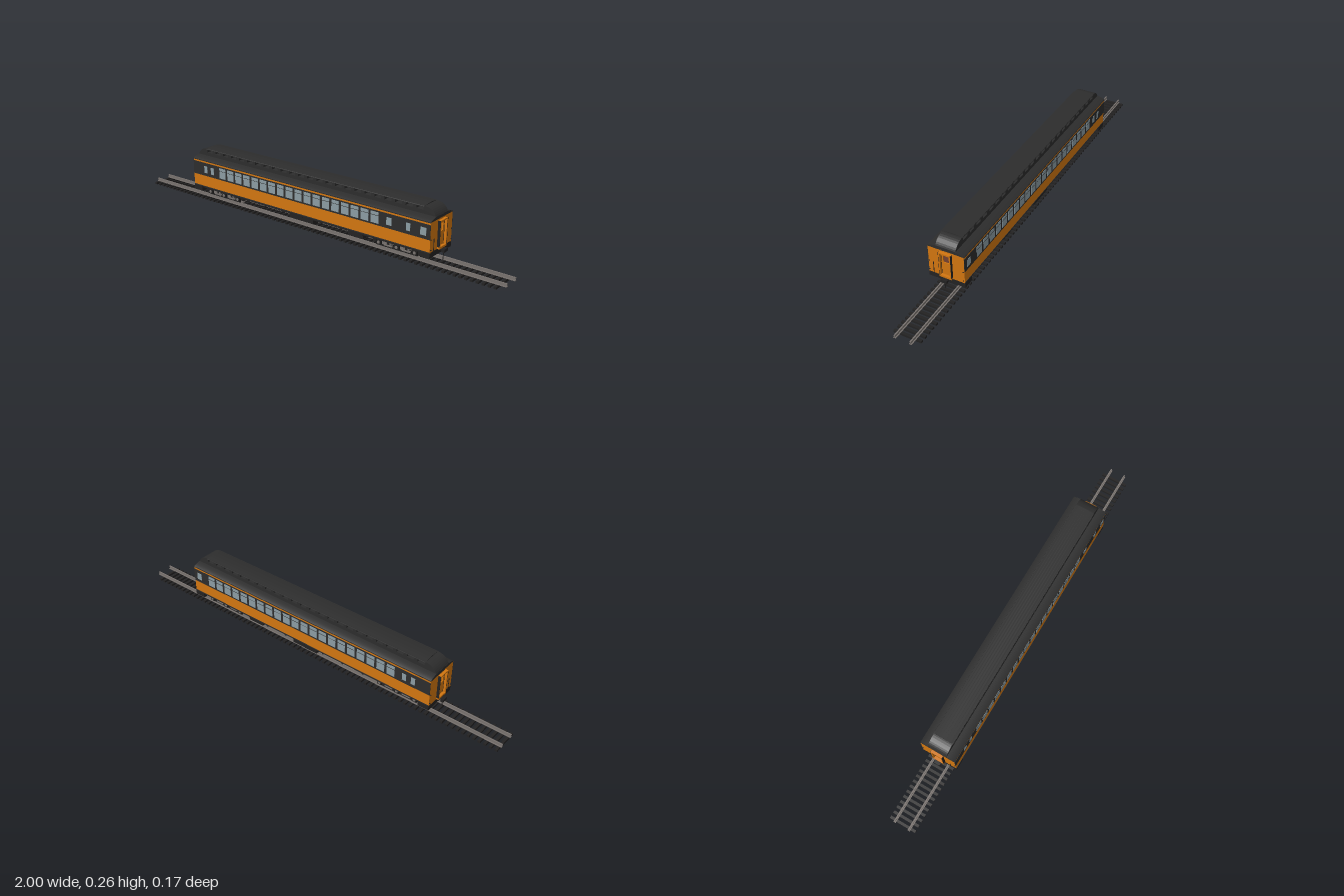
import * as THREE from 'three';

const mat = (name, color, extra) => Object.assign(new THREE.MeshStandardMaterial({ color, ...extra }), { name });

export function createModel() {
  const orange = mat('orange paint', 0xd27610);
  const dark = mat('dark roof paint', 0x2d2d2d);
  const black = mat('underframe black', 0x232222);
  const glass = mat('window glass', 0x8b9ca3);
  const steel = mat('rail steel', 0x77716d);
  const brown = mat('interior brown', 0x74402f);
  const car = new THREE.Group();
  car.name = 'passengerCarOnTrack';

  const add = (parent, name, geo, m) => {
    const mesh = new THREE.Mesh(geo, m);
    mesh.name = name;
    parent.add(mesh);
    return mesh;
  };
  // Box given by its limits on each axis
  const box = (parent, name, m, x0, x1, y0, y1, z0, z1) => {
    const b = add(parent, name, new THREE.BoxGeometry(x1 - x0, y1 - y0, z1 - z0), m);
    b.position.set((x0 + x1) / 2, (y0 + y1) / 2, (z0 + z1) / 2);
    return b;
  };
  // Cylinder lying along z
  const disc = (parent, name, m, r, x, y, z, len, n = 20) => {
    const c = add(parent, name, new THREE.CylinderGeometry(r, r, len, n).rotateX(Math.PI / 2), m);
    c.position.set(x, y, z);
    return c;
  };
  const group = (name, parent = car) => {
    const g = new THREE.Group();
    g.name = name;
    parent.add(g);
    return g;
  };
  const rect = (T, x0, x1, y0, y1) => new T([
    new THREE.Vector2(x0, y0), new THREE.Vector2(x1, y0), new THREE.Vector2(x1, y1), new THREE.Vector2(x0, y1)]);
  // Cross-section in (z, y) extruded along x from x0 to x1
  const alongX = (shape, x0, x1) =>
    new THREE.ExtrudeGeometry(shape, { depth: x1 - x0, bevelEnabled: false, curveSegments: 8 })
      .rotateY(Math.PI / 2).translate(x0, 0, 0);

  const L = 0.675, W = 0.0845;

  // Track: sleepers and two I-section rails
  const track = group('track');
  for (let i = 0; i < 76; i++) {
    const x = -0.988 + i * 0.026;
    box(track, 'sleeper', black, x - 0.006, x + 0.006, 0, 0.01, -0.064, 0.064);
  }
  for (const z of [-0.036, 0.036]) {
    box(track, 'railFoot', steel, -1, 1, 0.01, 0.0125, z - 0.006, z + 0.006);
    box(track, 'railWeb', steel, -1, 1, 0.0125, 0.02, z - 0.0012, z + 0.0012);
    box(track, 'railHead', steel, -1, 1, 0.02, 0.025, z - 0.003, z + 0.003);
  }

  // Body shell: floor, side walls, window bands
  const body = group('body');
  box(body, 'floor', black, -L, L, 0.068, 0.079, -0.078, 0.078);
  const bigWindow = (s, x) => {
    box(body, 'largeWindow', glass, x - 0.02, x + 0.02, 0.143, 0.194, s * W - 0.0016, s * W + 0.0016);
    box(body, 'sashBar', dark, x - 0.02, x + 0.02, 0.178, 0.18, s * W - 0.002, s * W + 0.002);
  };
  const smallWindow = (s, x, w) =>
    box(body, 'smallWindow', glass, x - w / 2, x + w / 2, 0.15, 0.184, s * W - 0.0016, s * W + 0.0016);
  for (const s of [1, -1]) {
    const z = s * (W - 0.003);
    box(body, 'sideWall', orange, -L, L, 0.078, 0.21, z - 0.002, z + 0.002);
    const zb = s * (W - 0.0005);
    box(body, 'windowBand', dark, -L, L, 0.135, 0.2, zb - 0.001, zb + 0.001);
    box(body, 'sillLine', dark, -L, L, 0.077, 0.081, zb - 0.001, zb + 0.001);
    smallWindow(s, -0.592, 0.02);
    smallWindow(s, -0.548, 0.02);
    smallWindow(s, 0.642, 0.028);
    // The front has a shorter row of large windows
    const count = s > 0 ? 18 : 21;
    for (let i = 0; i < count; i++) bigWindow(s, -0.48 + i * 0.052);
    if (s > 0) {
      smallWindow(s, 0.476, 0.026);
      smallWindow(s, 0.57, 0.02);
    }
  }

  // Interior partitions and benches
  const interior = group('interior');
  for (const x of [-0.61, 0.61]) box(interior, 'partition', brown, x - 0.004, x + 0.004, 0.079, 0.174, -0.078, 0.078);
  for (let i = 0; i < 20; i++) for (const s of [-1, 1]) {
    const x = -0.494 + i * 0.052;
    box(interior, 'benchBack', brown, x - 0.004, x + 0.004, 0.079, 0.135, s * 0.047 - 0.028, s * 0.047 + 0.028);
  }

  // Ends: wall with open door window, door frame, coupler, steps, rails
  for (const s of [-1, 1]) {
    const end = group(s > 0 ? 'leftEnd' : 'rightEnd');
    const wall = rect(THREE.Shape, -W + 0.001, W - 0.001, 0.077, 0.21);
    wall.holes.push(rect(THREE.Path, -0.013, 0.013, 0.15, 0.184));
    add(end, 'endWall', alongX(wall, L - 0.004, L), orange);
    const frame = rect(THREE.Shape, -0.028, 0.028, 0.079, 0.204);
    frame.holes.push(rect(THREE.Path, -0.022, 0.022, 0.088, 0.198));
    add(end, 'doorFrame', alongX(frame, L, L + 0.012), orange);
    for (const z of [-1, 1]) {
      box(end, 'frameEdge', black, L, L + 0.0125, 0.088, 0.204, z * 0.028 - 0.0006, z * 0.028 + 0.0006);
      box(end, 'doorEdge', black, L, L + 0.0012, 0.088, 0.198, z * 0.0215 - 0.0006, z * 0.0215 + 0.0006);
      box(end, 'step', black, 0.622, L, 0.054, 0.077, z * 0.067 - 0.0175, z * 0.067 + 0.0175);
      for (const y of [0.09, 0.135])
        box(end, 'railBracket', black, L, L + 0.004, y - 0.0015, y + 0.0015, z * 0.079 - 0.0015, z * 0.079 + 0.0015);
    }
    box(end, 'doorTopEdge', black, L, L + 0.0012, 0.197, 0.198, -0.0215, 0.0215);
    box(end, 'handRail', black, L + 0.002, L + 0.004, 0.08, 0.136, s * 0.059 - 0.001, s * 0.059 + 0.001);
    box(end, 'bufferBeam', black, L - 0.02, L, 0.055, 0.077, -W, W);
    box(end, 'couplerShank', black, L, 0.69, 0.067, 0.075, -0.006, 0.006);
    box(end, 'couplerHead', black, 0.688, 0.702, 0.064, 0.078, -0.014, 0.014);
    box(end, 'brakeHose', black, 0.689, 0.692, 0.027, 0.066, -0.0012, 0.0012);
    if (s < 0) end.rotation.y = Math.PI;
  }

  // Lower roof, curved up to the raised centre
  const roof = group('roof');
  const lower = new THREE.Shape();
  lower.moveTo(-W, 0.208);
  lower.lineTo(W, 0.208);
  lower.lineTo(W, 0.212);
  lower.quadraticCurveTo(0.068, 0.221, 0.045, 0.224);
  lower.lineTo(-0.045, 0.224);
  lower.quadraticCurveTo(-0.068, 0.221, -W, 0.212);
  add(roof, 'lowerRoof', alongX(lower, -L, L), dark);

  // Clerestory with open ventilator windows and rounded ends
  const side = new THREE.Shape();
  side.moveTo(-L, 0.222);
  side.lineTo(L, 0.222);
  side.quadraticCurveTo(0.662, 0.258, 0.615, 0.259);
  side.lineTo(-0.615, 0.259);
  side.quadraticCurveTo(-0.662, 0.258, -L, 0.222);
  for (let i = 0; i < 24; i++) {
    const x = -0.598 + i * 0.052;
    side.holes.push(rect(THREE.Path, x - 0.017, x + 0.017, 0.241, 0.253));
  }
  add(roof, 'clerestory', new THREE.ExtrudeGeometry(side, { depth: 0.092, bevelEnabled: false, curveSegments: 8 })
    .translate(0, 0, -0.046), dark);
  const crown = new THREE.Shape();
  crown.moveTo(-0.048, 0.256);
  crown.lineTo(0.048, 0.256);
  crown.lineTo(0.047, 0.2585);
  crown.quadraticCurveTo(0, 0.2665, -0.047, 0.2585);
  add(roof, 'clerestoryCrown', alongX(crown, -0.62, 0.62), dark);

  // Six-wheel trucks
  for (const cx of [-0.5, 0.5]) {
    const truck = group('truck');
    truck.position.x = cx;
    for (const x of [-0.09, 0, 0.09]) {
      disc(truck, 'axle', steel, 0.005, x, 0.049, 0, 0.112, 10);
      for (const s of [-1, 1]) {
        disc(truck, 'wheel', steel, 0.024, x, 0.049, s * 0.037, 0.009);
        disc(truck, 'wheelFlange', steel, 0.0265, x, 0.049, s * 0.0315, 0.003);
        box(truck, 'journalBox', black, x - 0.011, x + 0.011, 0.038, 0.06, s * 0.055 - 0.006, s * 0.055 + 0.006);
        disc(truck, 'journalCover', steel, 0.007, x, 0.049, s * 0.0615, 0.002, 12);
      }
    }
    for (const s of [-1, 1]) {
      const z = s * 0.052;
      box(truck, 'sideFrame', black, -0.118, 0.118, 0.057, 0.065, z - 0.004, z + 0.004);
      box(truck, 'lowerBar', black, -0.1, 0.1, 0.034, 0.039, z - 0.003, z + 0.003);
      for (const x of [-0.045, 0.045]) {
        box(truck, 'springPlank', steel, x - 0.02, x + 0.02, 0.04, 0.045, z - 0.005, z + 0.005);
        for (const d of [-0.01, 0.01]) {
          const spring = add(truck, 'spring', new THREE.CylinderGeometry(0.005, 0.005, 0.014, 10), steel);
          spring.position.set(x + d, 0.051, z);
        }
      }
    }
    for (const x of [-0.115, -0.045, 0.045, 0.115])
      box(truck, 'crossBeam', black, x - 0.007, x + 0.007, 0.046, 0.064, -0.054, 0.054);
    box(truck, 'bolster', black, -0.05, 0.05, 0.06, 0.07, -0.03, 0.03);
  }

  // Underframe: centre sill, cross members and equipment boxes
  const under = group('underframe');
  box(under, 'centreSill', black, -L, L, 0.06, 0.07, -0.013, 0.013);
  for (let i = -3; i <= 3; i++)
    box(under, 'crossMember', black, i * 0.11 - 0.004, i * 0.11 + 0.004, 0.062, 0.07, -0.076, 0.076);
  for (const s of [-1, 1]) {
    box(under, 'trussRail', black, -0.36, 0.36, 0.066, 0.078, s * 0.072 - 0.003, s * 0.072 + 0.003);
    box(under, 'batteryBox', black, -0.073, 0.064, 0.045, 0.07, s * 0.054 - 0.018, s * 0.054 + 0.018);
    box(under, 'equipmentBox', black, 0.255, 0.335, 0.044, 0.07, s * 0.05 - 0.018, s * 0.05 + 0.018);
    const tank = add(under, 'airTank', new THREE.CylinderGeometry(0.011, 0.011, 0.09, 14).rotateZ(Math.PI / 2), black);
    tank.position.set(-0.32, 0.063, s * 0.045);
  }
  return car;
}
